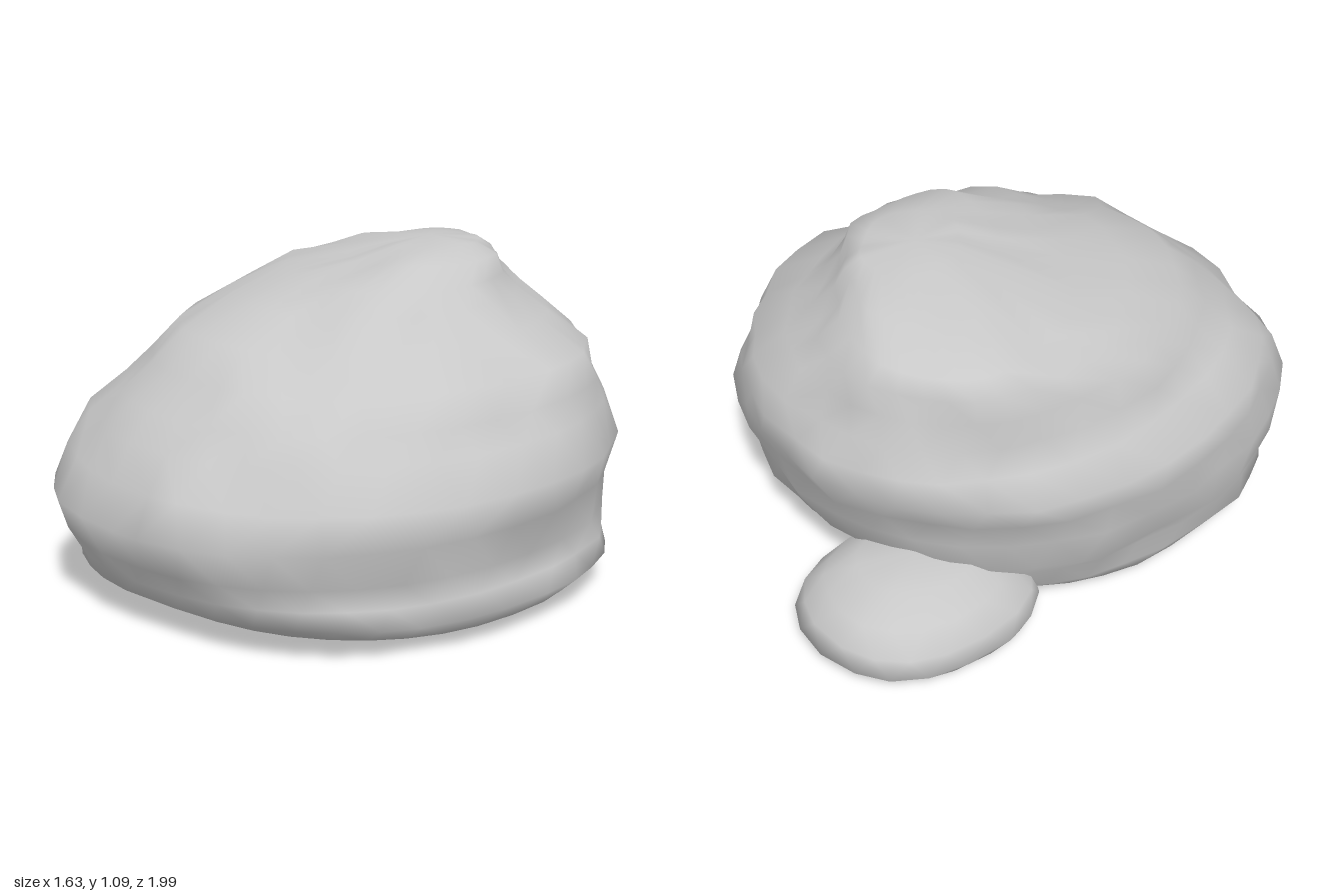
import * as THREE from 'three';
import { mergeVertices } from 'three/addons/utils/BufferGeometryUtils.js';

const stone = new THREE.MeshStandardMaterial({ color: 0xc8c8c8 });
stone.name = 'greyStone';

// Uneven lumps: coarse swells, chips, ridges and small dents, about -1..1
function lumps(x, y, z) {
  const swell = Math.sin(5.1 * x + 2.3 * y + 0.7) * Math.sin(4.3 * z - 3.1 * y + 1.9);
  const chip = Math.sin(11.3 * x - 6.1 * z + 2.1) * Math.sin(9.7 * y + 7.9 * z + 0.4);
  const ridge = 1.27 - 2 * Math.abs(Math.sin(7.3 * y + 3.7 * x - 4.9 * z));
  const dent = Math.sin(17 * x + 13 * y) * Math.sin(19 * z - 15 * y + 8 * x);
  return 0.15 * swell + 0.3 * chip + 0.2 * ridge + 0.4 * dent;
}

// Closed rock skin through rings [y, left x, right x, back z, front z, squareness, skew of z along x]
function rockGeometry(rings, sides, rough) {
  const points = [], index = [];
  const round = (c, k) => Math.sign(c) * Math.abs(c) ** (2 / k);
  rings.forEach(([y, x0, x1, z0, z1, k, skew], i) => {
    for (let j = 0; j < sides; j++) {
      const a = ((j + (i % 2) * 0.5) / sides) * Math.PI * 2;
      const dx = round(Math.cos(a), k) * (x1 - x0) / 2;
      const dz = round(Math.sin(a), k) * (z1 - z0) / 2 + dx * skew;
      const x = (x0 + x1) / 2 + dx, z = (z0 + z1) / 2 + dz;
      const n = lumps(x, y, z) * rough;
      const r = Math.hypot(dx, dz) || 1;
      const fade = Math.min(1, y / 0.15) * Math.min(1, r / 0.2);
      points.push(x + dx / r * n * fade, y + n * 0.5 * fade, z + dz / r * n * fade);
      if (i === rings.length - 1) continue;
      // Rings are staggered by half a step, so the diagonals alternate
      const next = (j + 1) % sides, p = i * sides, q = p + sides;
      if (i % 2) index.push(p + j, q + j, q + next, p + j, q + next, p + next);
      else index.push(p + j, q + j, p + next, q + j, q + next, p + next);
    }
  });
  const geometry = new THREE.BufferGeometry();
  geometry.setAttribute('position', new THREE.Float32BufferAttribute(points, 3));
  geometry.setIndex(index);
  const merged = mergeVertices(geometry, 1e-4);
  merged.computeVertexNormals();
  return merged;
}

export function createModel() {
  const group = new THREE.Group();
  group.name = 'boulders';

  // Large boulder: flat base, low lip, overhanging nose, crown set to the back
  const boulder = new THREE.Mesh(rockGeometry([
    [0.012, 0, 0, 0.05, 0.05, 2, 0],
    [0.022, -0.62, 0.64, -0.44, 0.63, 2.2, -0.13],
    [0.04, -0.69, 0.73, -0.57, 0.75, 2.3, -0.13],
    [0.11, -0.73, 0.8, -0.66, 0.87, 2.4, -0.13],
    [0.17, -0.72, 0.77, -0.69, 0.9, 2.3, -0.12],
    [0.24, -0.76, 0.76, -0.75, 0.94, 2.2, -0.09],
    [0.36, -0.78, 0.79, -0.79, 1.0, 2.1, -0.06],
    [0.47, -0.79, 0.81, -0.82, 0.92, 2.15, -0.05],
    [0.58, -0.81, 0.72, -0.86, 0.85, 2.1, -0.03],
    [0.66, -0.71, 0.68, -0.85, 0.77, 2.15, 0],
    [0.75, -0.67, 0.63, -0.81, 0.66, 2.15, 0],
    [0.84, -0.64, 0.47, -0.75, 0.53, 2.15, 0.05],
    [0.92, -0.6, 0.38, -0.7, 0.34, 2.1, 0.15],
    [0.98, -0.54, 0.34, -0.63, 0.14, 2.1, 0.28],
    [1.04, -0.32, 0.28, -0.56, 0, 2.1, 0.25],
    [1.075, -0.12, 0.18, -0.48, -0.14, 2, 0.1],
    [1.09, 0.02, 0.02, -0.3, -0.3, 2, 0],
  ], 36, 0.04), stone);
  boulder.name = 'largeBoulder';
  group.add(boulder);

  // Small rock tucked under the back
  const small = new THREE.Mesh(rockGeometry([
    [0.002, -0.4, -0.4, -0.6, -0.6, 2, 0],
    [0.008, -0.62, -0.2, -0.82, -0.3, 2.2, -0.1],
    [0.03, -0.67, -0.12, -0.92, -0.27, 2.3, -0.1],
    [0.09, -0.71, -0.07, -1.0, -0.27, 2.3, -0.1],
    [0.16, -0.7, -0.09, -0.98, -0.3, 2.3, -0.1],
    [0.22, -0.63, -0.14, -0.92, -0.36, 2.2, -0.1],
    [0.27, -0.54, -0.22, -0.81, -0.45, 2, -0.1],
    [0.3, -0.39, -0.39, -0.63, -0.63, 2, 0],
  ], 18, 0.02), stone);
  small.name = 'smallRock';
  group.add(small);

  return group;
}
